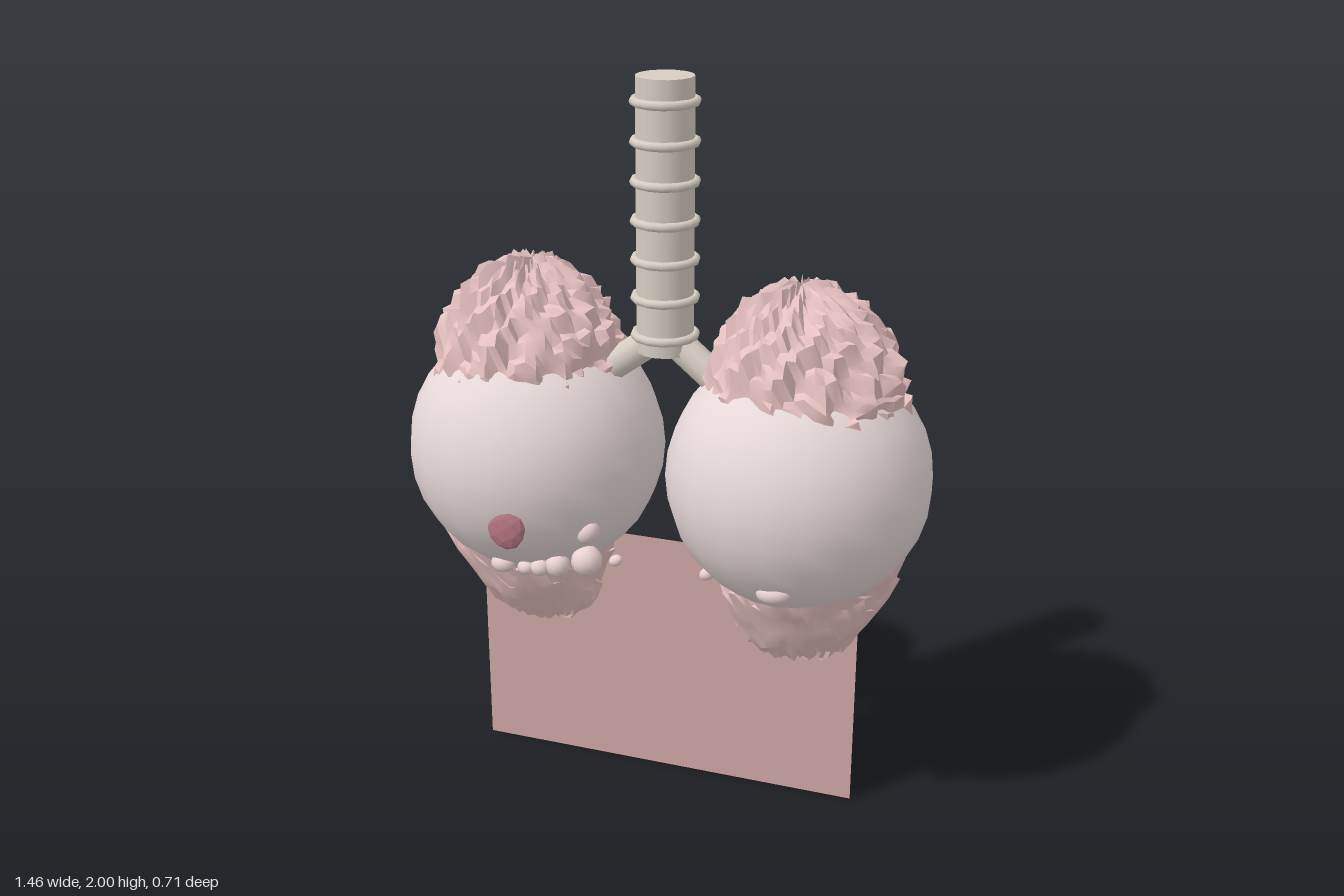
import * as THREE from 'three';
import { toCreasedNormals } from 'three/addons/utils/BufferGeometryUtils.js';

const paint = (color, extra = {}) => new THREE.MeshStandardMaterial({ color, ...extra });

function seeded(seed) {
  let s = seed;
  return () => (s = (s * 16807) % 2147483647) / 2147483647;
}

// Lobe cross-sections from base to apex: y, inner x, outer x, half depth, centre z
const SECTIONS = [
  [0.44, 0.37, 0.38, 0.005, -0.02],
  [0.455, 0.27, 0.47, 0.07, -0.02],
  [0.5, 0.21, 0.54, 0.12, -0.015],
  [0.57, 0.18, 0.59, 0.165, -0.02],
  [0.65, 0.165, 0.625, 0.205, -0.02],
  [0.75, 0.14, 0.66, 0.24, -0.02],
  [0.97, 0.11, 0.67, 0.26, 0],
  [1.2, 0.125, 0.645, 0.24, 0],
  [1.27, 0.135, 0.635, 0.225, 0],
  [1.35, 0.165, 0.605, 0.195, 0],
  [1.43, 0.225, 0.54, 0.145, 0.01],
  [1.48, 0.29, 0.46, 0.08, 0.01],
  [1.5, 0.365, 0.375, 0.005, 0.01],
];

function sectionAt(t) {
  const f = t * (SECTIONS.length - 1);
  const i = Math.min(Math.floor(f), SECTIONS.length - 2);
  return SECTIONS[i].map((v, k) => THREE.MathUtils.lerp(v, SECTIONS[i + 1][k], f - i));
}

// Lofted lobe whose skin is broken into spiralling, overlapping folds
function lobeGeometry(side, seed) {
  const around = 60, rows = 36;
  const rand = seeded(seed);
  const grid = Array.from({ length: (rows + 1) * around }, rand);
  const geo = new THREE.SphereGeometry(1, around, rows);
  const pos = geo.attributes.position;
  for (let n = 0; n < pos.count; n++) {
    const row = Math.floor(n / (around + 1));
    const col = (n % (around + 1)) % around;
    const t = 1 - row / rows;
    const [y, xIn, xOut, depth, cz] = sectionAt(t);
    const a = (col / around) * Math.PI * 2;
    const wave = Math.sin(3 * a + row * 0.9 + seed) + Math.sin(5 * a - row * 0.6);
    const turn = (col / around) * 12 + row * 0.17 + 0.2 * Math.sin(row * 0.8);
    const fold = turn - Math.floor(turn) - 0.5;
    const jitter = grid[row * around + col] - 0.5;
    const pole = row === 0 || row === rows;
    const r = pole ? 0 : 1 + 0.1 * fold + 0.018 * wave + 0.07 * jitter;
    const lift = pole ? 0 : 0.035 * fold + 0.025 * jitter;
    pos.setXYZ(n,
      side * (xIn + xOut) / 2 - Math.cos(a) * r * (xOut - xIn) / 2,
      y + lift,
      cz + Math.sin(a) * r * depth);
  }
  return toCreasedNormals(geo, 0.6);
}

export function createModel() {
  const model = new THREE.Group();
  const cartilage = paint(0xd6cdc2);
  const flesh = paint(0xe6c0c0, { side: THREE.DoubleSide });
  const membrane = paint(0xe6d8d8);
  const nodulePaint = paint(0xecd2d2);

  function add(name, geometry, material, x = 0, y = 0, z = 0, parent = model) {
    const mesh = new THREE.Mesh(geometry, material);
    mesh.name = name;
    mesh.position.set(x, y, z);
    parent.add(mesh);
    return mesh;
  }

  // Windpipe with its cartilage rings
  add('windpipe', new THREE.CylinderGeometry(0.076, 0.076, 0.72, 14), cartilage, 0, 1.64, 0);
  const ringGeo = new THREE.TorusGeometry(0.08, 0.012, 8, 14).rotateX(Math.PI / 2);
  for (let i = 0; i < 7; i++) add('windpipeRing', ringGeo, cartilage, 0, 1.325 + i * 0.102, 0);

  for (const side of [-1, 1]) {
    const lung = new THREE.Group();
    lung.name = side > 0 ? 'leftLung' : 'rightLung';
    model.add(lung);

    // Branch from the windpipe into the lung
    const branch = new THREE.LineCurve3(
      new THREE.Vector3(0, 1.33, 0), new THREE.Vector3(side * 0.22, 1.17, 0.03));
    add('bronchus', new THREE.TubeGeometry(branch, 1, 0.042, 10), cartilage, 0, 0, 0, lung);

    add('lungMembrane', new THREE.SphereGeometry(0.354, 20, 16), membrane, side * 0.374, 0.97, 0, lung);
    add('lungLobe', lobeGeometry(side, side > 0 ? 71 : 29), flesh, 0, 0, 0, lung);
  }

  // Dark patch on the right lung
  const lesion = add('lesion', new THREE.IcosahedronGeometry(0.062, 1),
    paint(0xb87884, { flatShading: true }), -0.33, 0.855, 0.325);
  lesion.scale.set(0.88, 1.05, 0.35);

  // Small air sacs: x, y, z, radius, stretch, tilt
  const sacs = [
    [-0.39, 0.695, 0.225, 0.026, 1.3, 0],
    [-0.32, 0.695, 0.23, 0.02, 1.2, 0],
    [-0.28, 0.7, 0.225, 0.025, 1.1, 0],
    [-0.235, 0.707, 0.21, 0.034, 1, 0],
    [-0.16, 0.72, 0.185, 0.043, 1, 0],
    [-0.145, 0.82, 0.21, 0.031, 1.2, 1.1],
    [-0.13, 0.66, 0.045, 0.016, 1.3, 0.5],
    [0.385, 0.752, 0.27, 0.027, 1.7, 0.1],
    [0.14, 0.665, 0.045, 0.018, 1.6, 0.6],
  ];
  for (const [x, y, z, r, stretch, tilt] of sacs) {
    const sac = add('airSac', new THREE.SphereGeometry(r, 12, 10), nodulePaint, x, y, z);
    sac.scale.x = stretch;
    sac.rotation.z = tilt;
  }

  // Thin upright sheet beneath the lungs
  add('diaphragmSheet', new THREE.PlaneGeometry(1.105, 0.725),
    paint(0xcfa6a6, { side: THREE.DoubleSide }), 0, 0.3625, 0);

  return model;
}
